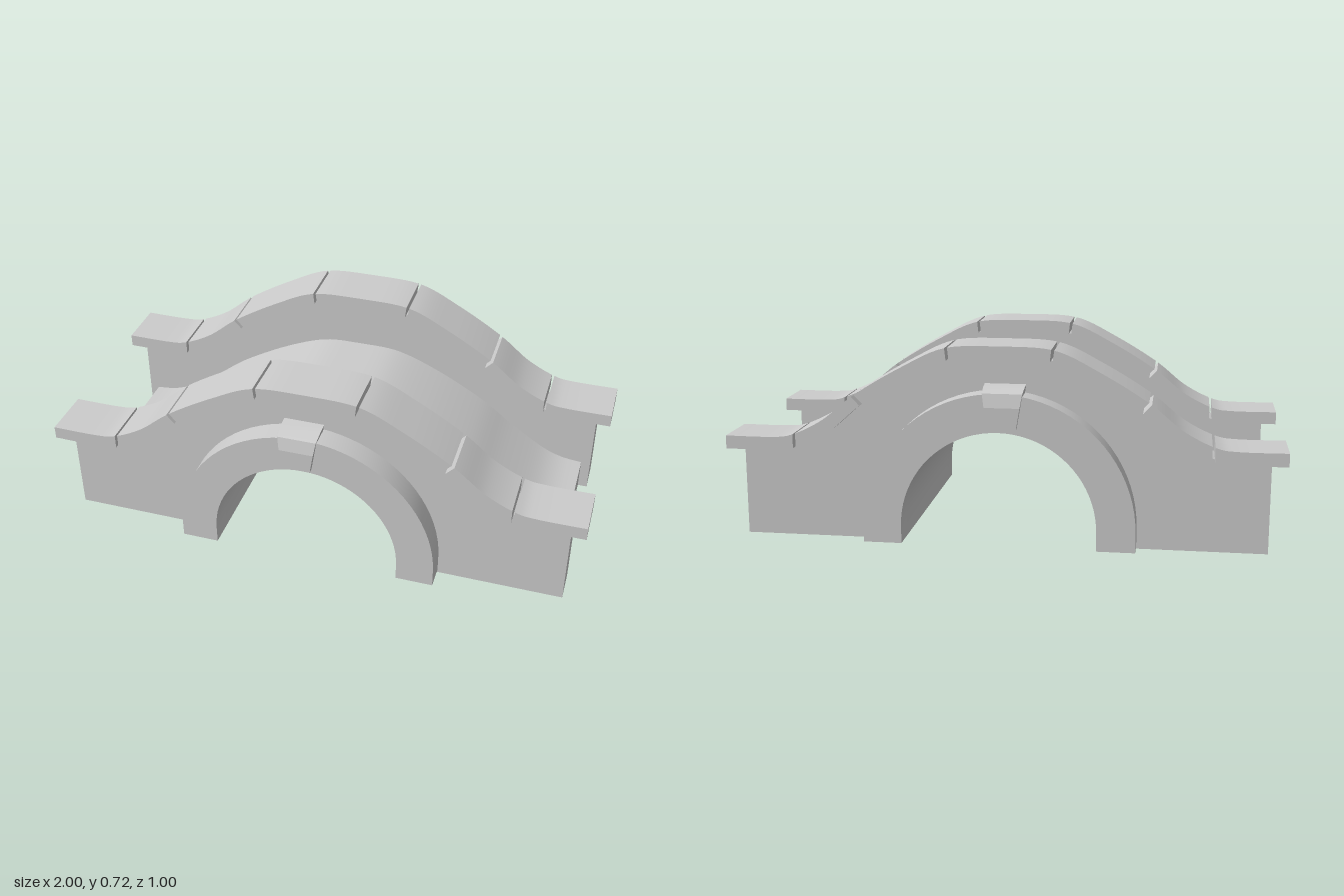
import * as THREE from 'three';
import { toCreasedNormals } from 'three/addons/utils/BufferGeometryUtils.js';

const material = new THREE.MeshStandardMaterial({ color: 0xcccccc });
const V = (x, y) => new THREE.Vector2(x, y);

// Height as a function of |x|, from a spline through a few points
function heightCurve(points) {
  const pts = new THREE.SplineCurve(points.map(([x, y]) => V(x, y))).getPoints(120);
  return (x) => {
    const ax = Math.abs(x);
    let i = 1;
    while (i < pts.length - 1 && pts[i].x < ax) i++;
    const a = pts[i - 1], b = pts[i];
    return a.y + (b.y - a.y) * (ax - a.x) / (b.x - a.x);
  };
}

const copingTop = heightCurve([[0, 0.725], [0.19, 0.715], [0.35, 0.642], [0.52, 0.54], [0.64, 0.445], [0.75, 0.39], [0.83, 0.378], [1, 0.378]]);
const copingBottom = heightCurve([[0, 0.68], [0.18, 0.672], [0.35, 0.595], [0.495, 0.505], [0.62, 0.4], [0.74, 0.342], [0.81, 0.33], [1, 0.33]]);
const deckTop = heightCurve([[0, 0.508], [0.15, 0.5], [0.32, 0.435], [0.5, 0.335], [0.62, 0.245], [0.75, 0.16], [0.83, 0.128], [0.91, 0.118]]);

// Points along a height curve from x = a to x = b
const sample = (f, a, b, n) =>
  Array.from({ length: n + 1 }, (_, i) => V(a + (b - a) * i / n, f(a + (b - a) * i / n)));

// Arch outline: straight feet and a half circle, from right foot to left foot
const SPRING = 0.08;
function archLine(r, foot, n = 40) {
  const pts = [V(r, foot)];
  for (let i = 0; i <= n; i++) {
    const a = Math.PI * i / n;
    pts.push(V(r * Math.cos(a), SPRING + r * Math.sin(a)));
  }
  pts.push(V(-r, foot));
  return pts;
}

// Extrudes an outline in xy between two z values
function slab(name, points, z0, z1) {
  const g = new THREE.ExtrudeGeometry(new THREE.Shape(points), { depth: z1 - z0, bevelEnabled: false });
  g.translate(0, 0, z0);
  const mesh = new THREE.Mesh(toCreasedNormals(g, 0.4), material);
  mesh.name = name;
  return mesh;
}

// Tapered keystone, drawn in side profile and narrowed towards its foot
function keystone() {
  const profile = [V(0.4, 0.445), V(0.499, 0.445), V(0.499, 0.52), V(0.487, 0.568), V(0.44, 0.583), V(0.4, 0.588)];
  const g = new THREE.ExtrudeGeometry(new THREE.Shape(profile), { depth: 1, bevelEnabled: false });
  g.rotateY(-Math.PI / 2);
  const p = g.attributes.position;
  for (let i = 0; i < p.count; i++) {
    const half = 0.05 + 0.023 * (p.getY(i) - 0.445) / 0.14;
    p.setX(i, -0.018 + (p.getX(i) + 0.5) * 2 * half);
  }
  const mesh = new THREE.Mesh(toCreasedNormals(g, 0.2), material);
  mesh.name = 'keystone';
  return mesh;
}

// One side of the bridge, at +z or -z
function createSide(s) {
  const side = new THREE.Group();
  side.name = s > 0 ? 'frontSide' : 'backSide';
  const add = (name, pts, z0, z1) =>
    side.add(slab(name, pts, Math.min(s * z0, s * z1), Math.max(s * z0, s * z1)));

  // Parapet wall with the arch cut out of its foot
  add('parapetWall', [
    V(0.945, 0.002), ...sample(copingBottom, 0.945, -0.945, 70), V(-0.945, 0.002),
    ...archLine(0.365, 0.002).reverse(),
  ], 0.267, 0.392);

  // Raised arch band
  add('archBand', [...archLine(0.485, 0.013), ...archLine(0.348, 0.013).reverse()], 0.385, 0.478);

  // Coping stones: [x on top, x underneath] at each joint
  const joints = [[-1, -1], [-0.745, -0.745], [-0.525, -0.495], [-0.187, -0.182],
    [0.187, 0.182], [0.525, 0.495], [0.745, 0.745], [1, 1]];
  for (let i = 0; i < joints.length - 1; i++) {
    const [t0, b0] = joints[i], [t1, b1] = joints[i + 1];
    const g0 = i > 0 ? 0.005 : 0, g1 = i < joints.length - 2 ? 0.005 : 0;
    add('copingStone', [
      ...sample(copingBottom, b0 + g0, b1 - g1, 14),
      ...sample(copingTop, t1 - g1, t0 + g0, 14),
    ], 0.243, 0.437);
  }

  const key = keystone();
  if (s < 0) {
    // Turn to the back while keeping the same x position
    key.rotation.y = Math.PI;
    key.position.x = -0.036;
  }
  side.add(key);
  return side;
}

export function createModel() {
  const bridge = new THREE.Group();
  bridge.name = 'archBridge';
  bridge.add(createSide(1), createSide(-1));

  // Thin roadway with a lip turned down at each end
  const under = (x) => deckTop(x) - 0.03;
  bridge.add(slab('deck', [
    V(0.91, 0.003), ...sample(deckTop, 0.91, -0.91, 70), V(-0.91, 0.003), V(-0.88, 0.003),
    ...sample(under, -0.88, 0.88, 70), V(0.88, 0.003),
  ], -0.27, 0.27));

  // Vault lining under the roadway
  bridge.add(slab('vault', [...archLine(0.38, 0.013), ...archLine(0.348, 0.013).reverse()], -0.386, 0.386));
  return bridge;
}
